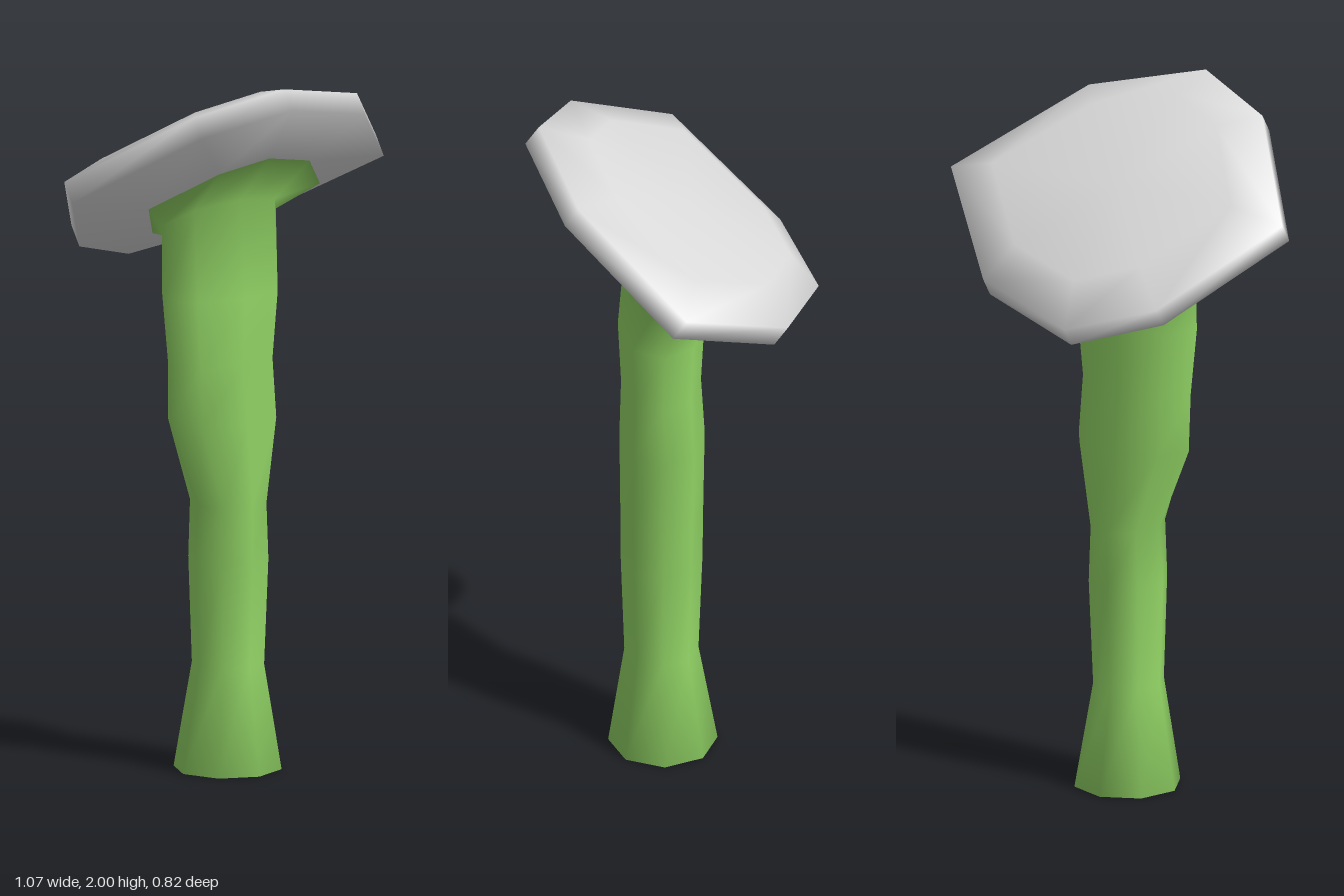
import * as THREE from 'three';

const SIDES = 8;

// Skin a stack of eight-point rings with smooth normals; ends may be closed by a centre point.
function loft(rings, startPoint, endPoint) {
  const points = rings.flat();
  const index = [];
  for (let r = 0; r < rings.length - 1; r++) {
    for (let i = 0; i < SIDES; i++) {
      const j = (i + 1) % SIDES;
      const a = r * SIDES + i, b = r * SIDES + j;
      index.push(a, a + SIDES, b, b, a + SIDES, b + SIDES);
    }
  }
  const close = (point, base, flip) => {
    const c = points.push(point) - 1;
    for (let i = 0; i < SIDES; i++) {
      const a = base + i, b = base + (i + 1) % SIDES;
      index.push(c, flip ? b : a, flip ? a : b);
    }
  };
  if (startPoint) close(startPoint, 0, false);
  if (endPoint) close(endPoint, (rings.length - 1) * SIDES, true);
  const geometry = new THREE.BufferGeometry().setFromPoints(points);
  geometry.setIndex(index);
  geometry.computeVertexNormals();
  return geometry;
}

// Cap plane: tilted so that its front edge is raised.
const TILT = 0.61;
const capPoint = (x, d, n) => new THREE.Vector3(
  x,
  1.7 + d * Math.sin(TILT) + n * Math.cos(TILT),
  d * Math.cos(TILT) - n * Math.sin(TILT)
);

// Irregular octagonal rim, as [x, distance along the slope]
const RIM = [
  [0.535, 0], [0.26, 0.356], [-0.06, 0.476], [-0.3, 0.356],
  [-0.535, 0], [-0.3, -0.356], [-0.06, -0.476], [0.26, -0.356],
];
const capRing = (scale, n) => RIM.map(([x, d]) => capPoint(x * scale, d * scale, n));

// Stem ring from its extents; slope tilts the ring towards the cap.
function stemRing([y, x0, x1, z0, z1, slope = 0]) {
  return RIM.map((_, i) => {
    const a = (i / SIDES) * Math.PI * 2;
    const x = (x0 + x1) / 2 + Math.cos(a) * (x1 - x0) / 2;
    const z = (z0 + z1) / 2 + Math.sin(a) * (z1 - z0) / 2;
    return new THREE.Vector3(x, y + z * slope, z);
  });
}

export function createModel() {
  const green = new THREE.MeshStandardMaterial({ color: 0x92d465 });
  green.name = 'stemGreen';
  const grey = new THREE.MeshStandardMaterial({ color: 0xdadada });
  grey.name = 'capGrey';
  const group = new THREE.Group();
  const add = (name, geometry, material) => {
    const mesh = new THREE.Mesh(geometry, material);
    mesh.name = name;
    group.add(mesh);
  };

  // Stem: y, x range, z range, slope; it flares out under the cap
  const stem = [
    [0, -0.16, 0.145, -0.125, 0.18],
    [0.3, -0.11, 0.092, -0.072, 0.135],
    [0.6, -0.12, 0.105, -0.083, 0.145],
    [0.76, -0.11, 0.095, -0.085, 0.146],
    [1.0, -0.205, 0.15, -0.09, 0.148],
    [1.17, -0.21, 0.138, -0.08, 0.143],
    [1.36, -0.23, 0.157, -0.09, 0.152],
    [1.555, -0.23, 0.16, -0.08, 0.13, 0.65],
  ].map(stemRing);
  add('stem', loft([...stem, capRing(0.55, -0.085)], new THREE.Vector3(-0.01, 0, 0.03)), green);

  // Cap: underside, thin rim, bevel and flat top
  const cap = [
    capRing(0.55, -0.085),
    capRing(1, -0.033),
    capRing(1, 0.033),
    capRing(0.72, 0.085),
  ];
  add('cap', loft(cap, null, capPoint(-0.02, 0, 0.09)), grey);

  return group;
}
